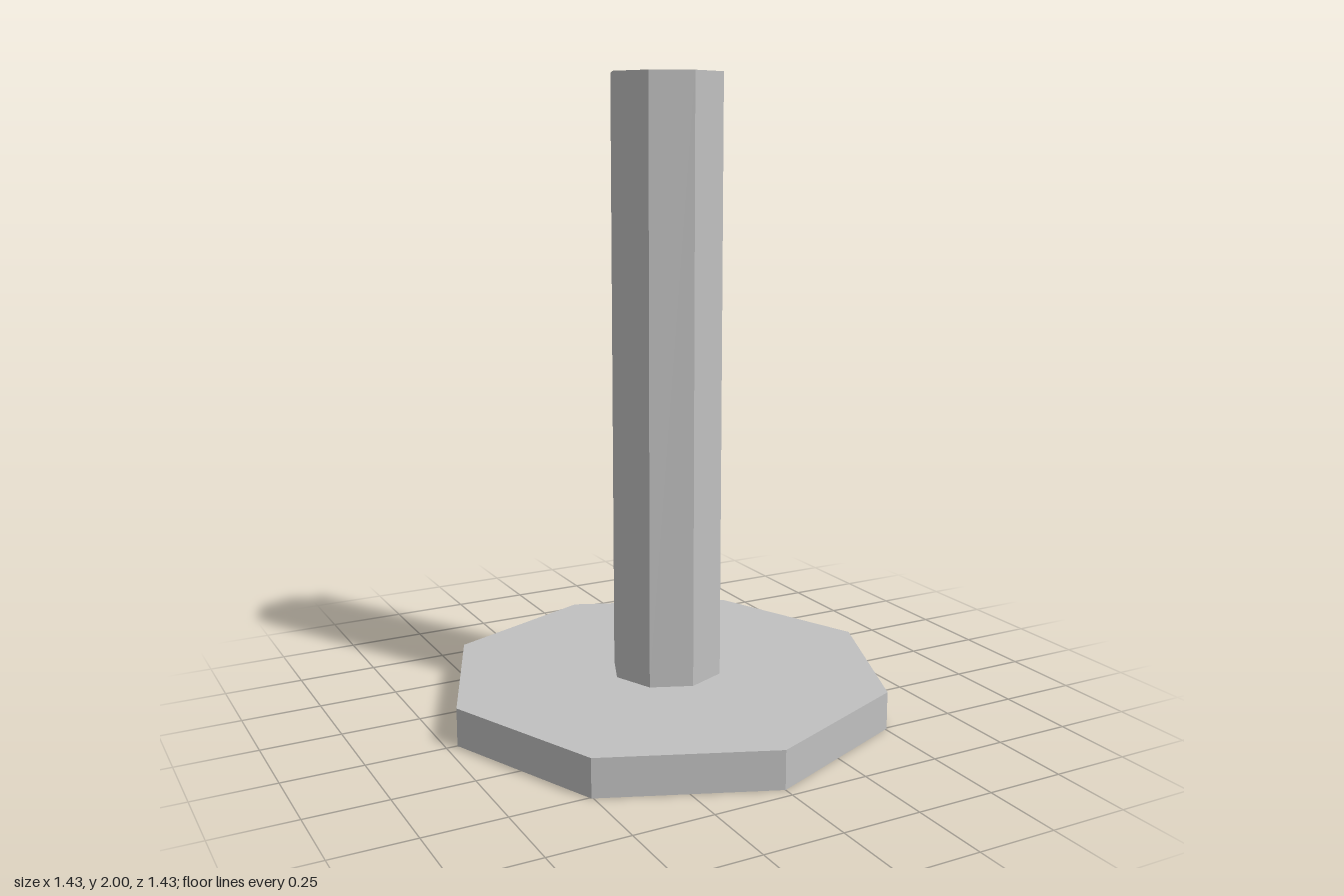
import * as THREE from 'three';

export function createModel() {
  const model = new THREE.Group();
  const grey = new THREE.MeshStandardMaterial({ color: 0xc0c0c0, flatShading: true });
  grey.name = 'light grey';

  // Upright octagonal prism with corners on the x and z axes
  function addPrism(name, radius, bottom, top) {
    const mesh = new THREE.Mesh(new THREE.CylinderGeometry(radius, radius, top - bottom, 8), grey);
    mesh.name = name;
    mesh.position.y = (bottom + top) / 2;
    model.add(mesh);
  }

  addPrism('base', 0.715, 0, 0.12); // wide flat foot
  addPrism('post', 0.178, 0.12, 2); // slim column

  return model;
}
